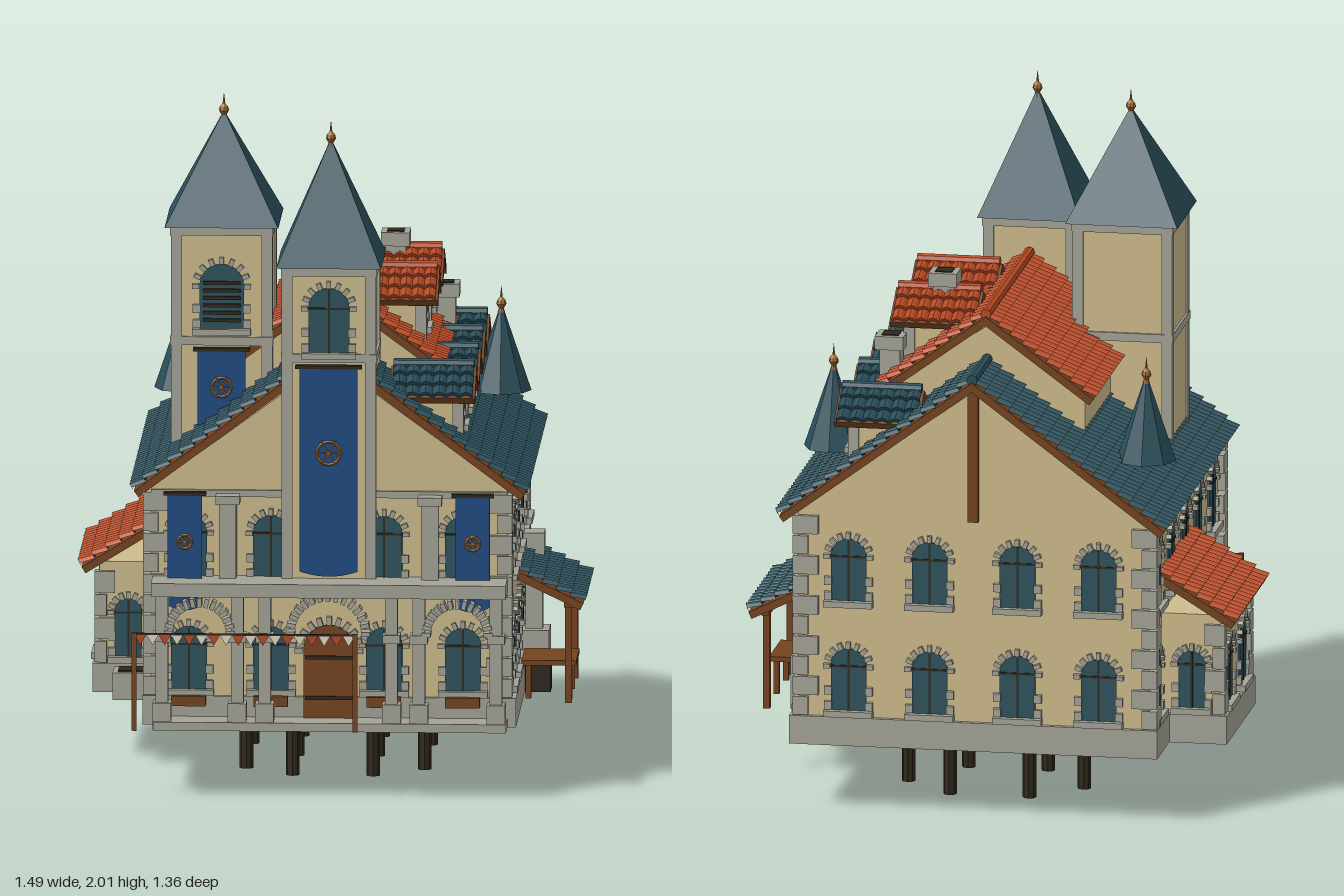
import * as THREE from 'three';

const mat = (name, color, side = THREE.FrontSide) => {
  const m = new THREE.MeshStandardMaterial({ color, side, flatShading: true });
  m.name = name;
  return m;
};
const plaster = mat('plaster', 0xcdbb8c), stone = mat('stone', 0xa3a397);
const blueTile = mat('blueTile', 0x2a4f5a, THREE.DoubleSide), redTile = mat('redTile', 0xb84a24, THREE.DoubleSide);
const wood = mat('wood', 0x74431f, THREE.DoubleSide), darkWood = mat('darkWood', 0x2e271b);
const cloth = mat('bannerCloth', 0x1d4a80, THREE.DoubleSide), glass = mat('glass', 0x2d525c, THREE.DoubleSide);
const gold = mat('gold', 0xa0692f), pale = mat('paleCloth', 0xe0d8c4, THREE.DoubleSide);

const add = (parent, name, geo, material, x = 0, y = 0, z = 0) => {
  const m = new THREE.Mesh(geo, material);
  m.name = name;
  m.position.set(x, y, z);
  parent.add(m);
  return m;
};
// box given by its extents on each axis
const box = (p, name, m, x0, x1, y0, y1, z0, z1) =>
  add(p, name, new THREE.BoxGeometry(x1 - x0, y1 - y0, z1 - z0), m, (x0 + x1) / 2, (y0 + y1) / 2, (z0 + z1) / 2);
const group = (p, name, x = 0, y = 0, z = 0, ry = 0) => {
  const g = new THREE.Group();
  g.name = name;
  g.position.set(x, y, z);
  g.rotation.y = ry;
  p.add(g);
  return g;
};

// one slope of overlapping barrel tiles, ridge along z, falling towards side * x
function slope(p, m, side, half, rise, len) {
  const L = Math.hypot(half, rise), c = half / L, s = rise / L;
  const rows = Math.max(2, Math.round(L / 0.045)), cols = Math.round(len / 0.037), seg = 4, v = [];
  const pt = (d, k, h) => {
    const b = Math.abs(Math.sin((k / seg) * Math.PI)) * 0.012 + h;
    return [side * (d * c + b * s), b * c - d * s, -len / 2 + (k / (cols * seg)) * len];
  };
  const quad = (a, b, cc, d) => v.push(...a, ...b, ...cc, ...a, ...cc, ...d);
  for (let r = 0; r < rows; r++) {
    const d0 = (r / rows) * L, d1 = ((r + 1) / rows) * L;
    for (let k = 0; k < cols * seg; k++) {
      const a = pt(d0, k, 0), b = pt(d0, k + 1, 0), e = pt(d1, k + 1, 0.012), f = pt(d1, k, 0.012);
      if (side > 0) quad(a, b, e, f); else quad(b, a, f, e);
      const g = pt(d1, k, 0), h = pt(d1, k + 1, 0);
      if (side > 0) quad(f, e, h, g); else quad(e, f, g, h);
    }
  }
  const geo = new THREE.BufferGeometry();
  geo.setAttribute('position', new THREE.Float32BufferAttribute(v, 3));
  geo.computeVertexNormals();
  add(p, 'roofTiles', geo, m);
  const board = add(p, 'roofBoard', new THREE.BoxGeometry(L, 0.022, len + 0.014), wood,
    side * (half / 2 - s * 0.011), -rise / 2 - c * 0.011, 0);
  board.rotation.z = -side * Math.atan2(rise, half);
}
function gableRoof(p, m, half, rise, len) {
  [-1, 1].forEach(side => slope(p, m, side, half, rise, len));
  add(p, 'ridgeTiles', new THREE.CylinderGeometry(0.016, 0.016, len, 8), m, 0, 0.006, 0).rotation.x = Math.PI / 2;
}
// house-shaped block: walls and both gables in one
function gabledBlock(p, name, half, y0, yEave, yTop, z0, z1, x = 0.01) {
  const sh = new THREE.Shape([[-half, y0], [half, y0], [half, yEave], [0, yTop], [-half, yEave]].map(a => new THREE.Vector2(...a)));
  add(p, name, new THREE.ExtrudeGeometry(sh, { depth: z1 - z0, bevelEnabled: false }), plaster, x, 0, z0);
}

const archShape = (w, h) => {
  const s = new THREE.Shape();
  s.moveTo(-w / 2, 0);
  s.lineTo(w / 2, 0);
  s.lineTo(w / 2, h - w / 2);
  s.absarc(0, h - w / 2, w / 2, 0, Math.PI, false);
  s.closePath();
  return s;
};
// separate wedge stones set radially
function voussoirs(p, r, y, n, t, h, d) {
  for (let i = 0; i < n; i++) {
    const a = (i / (n - 1)) * Math.PI;
    add(p, 'archStone', new THREE.BoxGeometry(h, t, d), stone, Math.cos(a) * r, y + Math.sin(a) * r, d / 2).rotation.z = a;
  }
}
// arched window facing local +z, origin at the middle of its sill
function archWindow(p, x, y, z, ry = 0, w = 0.105, h = 0.185, louvre = false) {
  const g = group(p, 'window', x, y, z, ry);
  add(g, 'pane', new THREE.ExtrudeGeometry(archShape(w, h), { depth: 0.006, bevelEnabled: false, curveSegments: 8 }), glass);
  voussoirs(g, w / 2 + 0.011, h - w / 2, 9, 0.013, 0.02, 0.016);
  box(g, 'sill', stone, -w / 2 - 0.02, w / 2 + 0.02, -0.018, 0, 0, 0.026);
  for (const s of [-1, 1]) for (let i = 0; i < 2; i++)
    add(g, 'jambStone', new THREE.BoxGeometry(0.022, 0.024, 0.014), stone, s * (w / 2 + 0.008), 0.014 + i * 0.045, 0.007);
  if (louvre) for (let i = 0; i < 6; i++) box(g, 'louvre', darkWood, -w * 0.42, w * 0.42, 0.02 + i * 0.022, 0.03 + i * 0.022, 0, 0.014);
  else {
    box(g, 'mullion', darkWood, -0.003, 0.003, 0, h - 0.003, 0, 0.009);
    box(g, 'transom', darkWood, -w / 2, w / 2, h - w / 2 - 0.003, h - w / 2 + 0.003, 0, 0.009);
  }
}
function finial(p, x, y, z) {
  const pts = [[0.011, 0], [0.007, 0.012], [0.015, 0.025], [0.012, 0.036], [0.004, 0.045], [0, 0.08]];
  add(p, 'finial', new THREE.LatheGeometry(pts.map(a => new THREE.Vector2(...a)), 8), gold, x, y, z);
}
function tower(p, x, z, half, y0, yBand, yTop, yTip, over) {
  const g = group(p, 'tower', x, 0, z);
  box(g, 'towerWall', plaster, -half, half, y0, yTop, -half, half);
  for (const sx of [-1, 1]) for (const sz of [-1, 1])
    add(g, 'cornerTrim', new THREE.BoxGeometry(0.032, yTop - y0, 0.032), stone, sx * (half - 0.011), (y0 + yTop) / 2, sz * (half - 0.011));
  for (const y of [yBand, yTop - 0.025])
    box(g, 'towerBand', stone, -half - 0.007, half + 0.007, y, y + 0.025, -half - 0.007, half + 0.007);
  const geo = new THREE.ConeGeometry(over * Math.SQRT2, yTip - yTop, 4).rotateY(Math.PI / 4);
  add(g, 'spire', geo, blueTile, 0, (yTop + yTip) / 2, 0);
  finial(g, 0, yTip - 0.025, 0);
}
function banner(p, x, y0, y1, z, w) {
  const g = group(p, 'banner', x, 0, z);
  const sh = new THREE.Shape();
  sh.moveTo(-w / 2, y1);
  sh.lineTo(-w / 2, y0 + 0.015);
  sh.quadraticCurveTo(0, y0 - 0.015, w / 2, y0 + 0.015);
  sh.lineTo(w / 2, y1);
  add(g, 'bannerCloth', new THREE.ExtrudeGeometry(sh, { depth: 0.006, bevelEnabled: false }), cloth);
  box(g, 'bannerRod', darkWood, -w / 2 - 0.012, w / 2 + 0.012, y1 - 0.005, y1 + 0.005, -0.012, 0.01);
  const ey = y0 + (y1 - y0) * 0.59, r = w * 0.2;
  add(g, 'emblemRing', new THREE.TorusGeometry(r, 0.004, 4, 16), gold, 0, ey, 0.008);
  for (let i = 0; i < 3; i++)
    add(g, 'emblemSpoke', new THREE.BoxGeometry(r * 2.5, 0.004, 0.006), gold, 0, ey, 0.008).rotation.z = i * Math.PI / 3;
}
// dormer facing +x; z is its middle, xf its front wall
function dormer(p, tile, z, xf, xb, y0, yEave, yTop, wh) {
  const g = group(p, 'dormer', 0, 0, z);
  const body = group(g, 'dormerBody', xf, 0, 0, Math.PI / 2);
  gabledBlock(body, 'dormerWall', 0.068, y0, yEave, yTop - 0.035, xb - xf + 0.03, 0, 0);
  archWindow(body, 0, yEave - wh + 0.02, 0, 0, 0.075, wh);
  for (const s of [-1, 1]) box(body, 'dormerPier', stone, s * 0.062 - 0.014, s * 0.062 + 0.014, y0, yEave, -0.02, 0.012);
  const len = xf + 0.04 - xb;
  gableRoof(group(g, 'dormerRoof', xb + len / 2, yTop - 0.015, 0, Math.PI / 2), tile, 0.115, 0.075, len);
}
// alternating corner stones
function quoins(p, x, z, y0, y1, s = 1) {
  const n = Math.round((y1 - y0) / 0.062), h = (y1 - y0) / n;
  for (let i = 0; i < n; i++) {
    const a = (i % 2 ? 0.075 : 0.045) * s, b = (i % 2 ? 0.045 : 0.075) * s;
    const inX = Math.sign(x) * (a / 2 - 0.014), inZ = Math.sign(z) * (b / 2 - 0.014);
    add(p, 'cornerStone', new THREE.BoxGeometry(a, h - 0.006, b), stone, x - inX, y0 + (i + 0.5) * h, z - inZ);
  }
}

export function createModel() {
  const root = new THREE.Group();
  root.name = 'manor';

  // main hall with its blue roof
  gabledBlock(root, 'mainWalls', 0.52, 0.21, 0.9, 1.28, -0.635, 0.545);
  box(root, 'plinth', stone, -0.535, 0.555, 0.2, 0.285, -0.65, 0.56);
  for (const x of [-0.52, 0.53]) for (const z of [-0.635, 0.545]) quoins(root, x, z, 0.285, 0.89);
  gableRoof(group(root, 'mainRoof', 0.01, 1.315, -0.06), blueTile, 0.57, 0.425, 1.22);
  box(root, 'backGablePost', wood, -0.005, 0.025, 0.89, 1.28, -0.655, -0.63);
  box(root, 'frontGableBand', stone, -0.51, 0.53, 0.875, 0.895, 0.54, 0.556);
  for (const y of [0.305, 0.635]) {
    for (const z of [0.4, 0.165, -0.06, -0.29, -0.53]) {
      archWindow(root, 0.53, y, z, Math.PI / 2);
      if (y > 0.5 || z > 0.1 || z < -0.5) archWindow(root, -0.51, y, z, -Math.PI / 2);
    }
    for (const x of [-0.36, -0.12, 0.14, 0.38]) archWindow(root, x, y, -0.635, Math.PI);
    for (const x of [-0.4, -0.16, 0.17, 0.4]) archWindow(root, x, y, 0.545);
  }

  // raised upper hall with the red roof
  gabledBlock(root, 'upperWalls', 0.29, 1.0, 1.23, 1.42, -0.41, 0.28);
  gableRoof(group(root, 'upperRoof', 0.01, 1.455, -0.065), redTile, 0.32, 0.235, 0.74);

  // dormers on the right-hand slopes
  for (const z of [0.37, 0.085, -0.2, -0.48]) dormer(root, blueTile, z, 0.385, 0.19, 1.0, 1.16, 1.25, 0.11);
  for (const z of [0.1, -0.22]) dormer(root, redTile, z, 0.265, 0.06, 1.24, 1.4, 1.49, 0.11);

  // chimneys
  for (const [x, z, y0, y1] of [[0.17, -0.21, 1.3, 1.53], [0.31, -0.315, 1.05, 1.36]]) {
    box(root, 'chimney', stone, x - 0.03, x + 0.03, y0, y1 - 0.04, z - 0.03, z + 0.03);
    box(root, 'chimneyCap', stone, x - 0.042, x + 0.042, y1 - 0.04, y1, z - 0.042, z + 0.042);
    box(root, 'flue', darkWood, x - 0.025, x + 0.025, y1 - 0.01, y1 + 0.003, z - 0.025, z + 0.025);
  }

  // towers and roof turrets
  tower(root, 0.01, 0.445, 0.133, 0.62, 1.28, 1.56, 1.92, 0.153);
  archWindow(root, 0.01, 1.31, 0.578, 0, 0.12, 0.19);
  tower(root, -0.315, 0.165, 0.143, 0.95, 1.28, 1.63, 1.95, 0.166);
  archWindow(root, -0.315, 1.33, 0.308, 0, 0.13, 0.19, true);
  for (const x of [-0.455, 0.47]) {
    add(root, 'turret', new THREE.ConeGeometry(0.088, 0.26, 8), blueTile, x, 1.16, -0.375);
    finial(root, x, 1.26, -0.375);
  }

  // banners
  banner(root, 0.01, 0.65, 1.27, 0.598, 0.17);
  banner(root, -0.315, 1.0, 1.27, 0.325, 0.14);
  for (const x of [-0.41, 0.43]) banner(root, x, 0.545, 0.89, 0.588, 0.1);

  // front porch
  box(root, 'porchFloor', stone, -0.5, 0.53, 0.2, 0.225, 0.55, 0.66);
  box(root, 'balcony', stone, -0.505, 0.53, 0.6, 0.64, 0.54, 0.685);
  for (const x of [-0.475, -0.255, -0.175, 0.195, 0.275, 0.5]) {
    box(root, 'porchColumn', stone, x - 0.018, x + 0.018, 0.22, 0.6, 0.605, 0.641);
    box(root, 'columnBase', stone, x - 0.027, x + 0.027, 0.2, 0.28, 0.595, 0.652);
    box(root, 'columnHead', stone, x - 0.026, x + 0.026, 0.46, 0.485, 0.597, 0.65);
  }
  for (const [x, r] of [[-0.365, 0.09], [0.01, 0.11], [0.387, 0.09]])
    voussoirs(group(root, 'porchArch', x, 0, 0.6), r, 0.487, 15, 0.013, 0.026, 0.05);
  for (const x of [-0.285, 0.305]) {
    box(root, 'pilaster', stone, x - 0.025, x + 0.025, 0.64, 0.875, 0.545, 0.595);
    box(root, 'pilasterHead', stone, x - 0.035, x + 0.035, 0.86, 0.885, 0.545, 0.605);
  }
  const door = group(root, 'door', 0.01, 0.22, 0.56);
  add(door, 'doorLeaf', new THREE.ExtrudeGeometry(archShape(0.15, 0.28), { depth: 0.012, bevelEnabled: false }), wood);
  voussoirs(door, 0.088, 0.205, 11, 0.015, 0.024, 0.02);
  for (const y of [0.06, 0.18]) box(door, 'doorStrap', darkWood, -0.07, 0.07, y, y + 0.01, 0, 0.018);
  for (const x of [-0.4, -0.16, 0.17, 0.4]) box(root, 'flowerBox', wood, x - 0.05, x + 0.05, 0.26, 0.29, 0.56, 0.59);

  // bunting on two posts
  for (const x of [-0.555, 0.09]) box(root, 'buntingPost', wood, x - 0.007, x + 0.007, 0.2, 0.49, 0.652, 0.666);
  box(root, 'buntingCord', darkWood, -0.555, 0.09, 0.483, 0.489, 0.657, 0.661);
  for (let i = 0; i < 18; i++)
    add(root, 'pennant', new THREE.CircleGeometry(0.02, 3), i % 2 ? pale : redTile, -0.537 + i * 0.0358, 0.473, 0.66).rotation.z = -Math.PI / 2;

  // left annex under a red lean-to roof
  box(root, 'annexWalls', plaster, -0.685, -0.5, 0.21, 0.585, -0.43, 0.025);
  box(root, 'annexPlinth', stone, -0.705, -0.5, 0.2, 0.285, -0.445, 0.04);
  for (const z of [-0.43, 0.025]) quoins(root, -0.685, z, 0.285, 0.56, 0.8);
  slope(group(root, 'annexRoof', -0.5, 0.72, -0.205), redTile, -1, 0.235, 0.145, 0.53);
  for (const z of [-0.32, -0.09]) archWindow(root, -0.685, 0.305, z, -Math.PI / 2);
  for (const z of [-0.43, 0.025]) archWindow(root, -0.6, 0.305, z, z < 0 ? Math.PI : 0, 0.08, 0.17);
  box(root, 'planter', stone, -0.64, -0.53, 0.2, 0.28, 0.06, 0.165);
  box(root, 'planterSoil', darkWood, -0.625, -0.545, 0.275, 0.284, 0.075, 0.15);

  // right-hand shelter with its furniture
  slope(group(root, 'shelterRoof', 0.53, 0.6, -0.06), blueTile, 1, 0.205, 0.1, 0.48);
  for (const z of [0.15, -0.25]) box(root, 'shelterPost', wood, 0.68, 0.7, 0.2, 0.52, z - 0.01, z + 0.01);
  box(root, 'shelterBeam', wood, 0.678, 0.702, 0.485, 0.508, -0.28, 0.17);
  box(root, 'oven', stone, 0.54, 0.62, 0.2, 0.36, -0.25, -0.14);
  box(root, 'ovenFlue', stone, 0.55, 0.6, 0.36, 0.6, -0.22, -0.17);
  box(root, 'ovenFlueCap', stone, 0.545, 0.605, 0.58, 0.645, -0.235, -0.16);
  box(root, 'cupboard', darkWood, 0.55, 0.63, 0.2, 0.3, -0.105, -0.02);
  box(root, 'tableTop', wood, 0.55, 0.71, 0.3, 0.315, -0.1, 0.1);
  for (const x of [0.57, 0.69]) for (const z of [-0.08, 0.08]) box(root, 'tableLeg', wood, x - 0.008, x + 0.008, 0.2, 0.3, z - 0.008, z + 0.008);

  // piles, cross beams and the boat below the floor
  const piles = [[-0.25, 0.15], [-0.25, -0.25], [0.27, 0.15], [0.27, -0.25]];
  for (const x of [-0.11, 0.125]) for (const z of [0.26, -0.06, -0.38]) piles.push([x, z]);
  for (const [x, z] of piles) add(root, 'pile', new THREE.CylinderGeometry(0.02, 0.02, 0.21, 8), darkWood, x, 0.105, z);
  for (const z of [0.26, -0.06, -0.38]) box(root, 'crossBeam', wood, -0.24, 0.26, 0.175, 0.2, z - 0.012, z + 0.012);
  const hull = new THREE.SphereGeometry(1, 12, 8, 0, Math.PI * 2, Math.PI / 2, Math.PI / 2).scale(0.08, 0.065, 0.32);
  add(root, 'boatHull', hull, wood, 0.008, 0.2, -0.04);
  return root;
}
